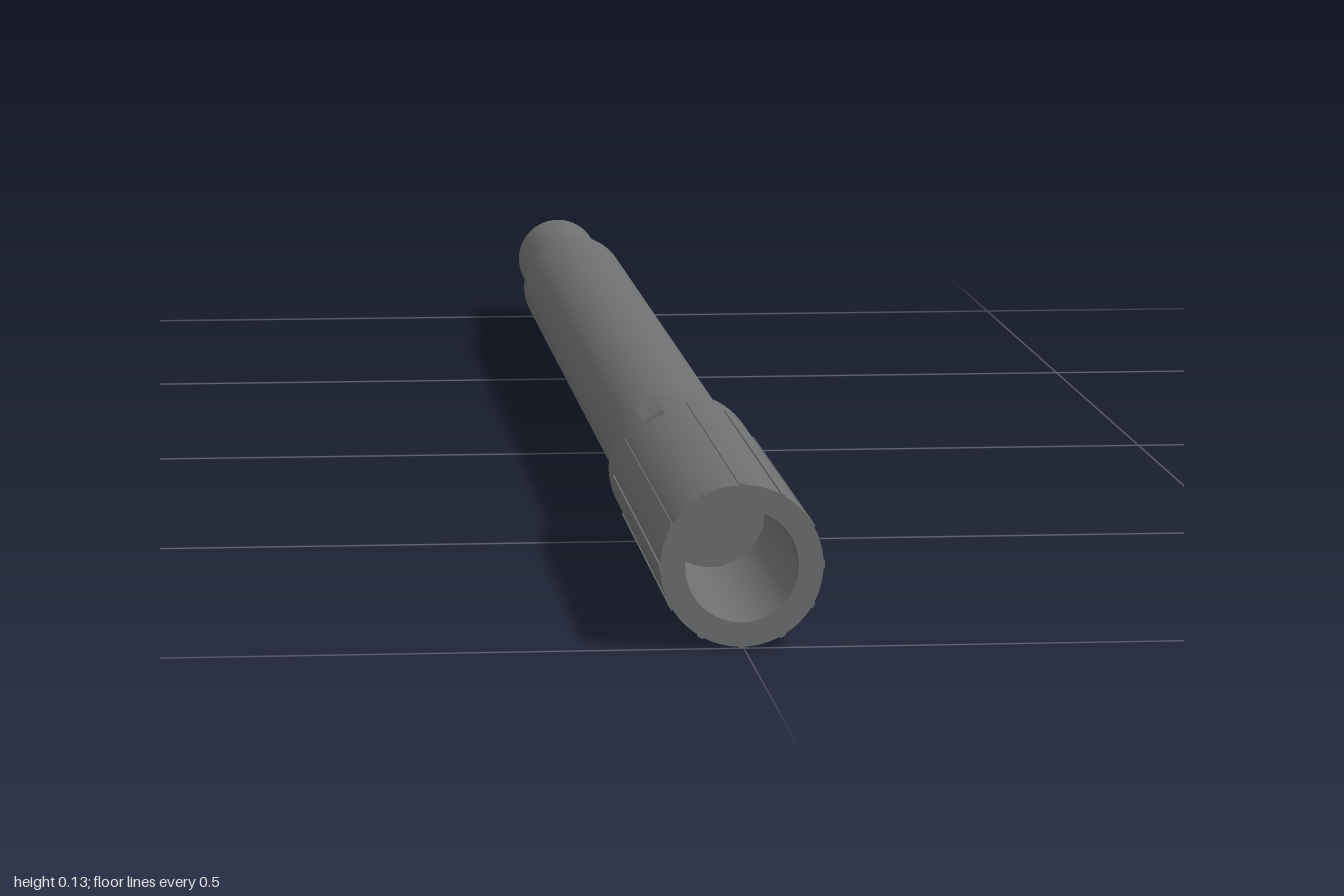
import * as THREE from 'three';

const CX = -0.0015, CY = 0.0675; // axis of the barrel

export function createModel() {
  const model = new THREE.Group();
  const barrel = new THREE.Group(); // turned along y, then laid along z
  barrel.name = 'barrel';
  const metal = new THREE.MeshStandardMaterial({ color: 0x6e6f70 });
  metal.name = 'grey metal';

  // One lathe strip per profile segment keeps the shoulders sharp
  const turned = (name, points) => {
    const part = new THREE.Group();
    part.name = name;
    for (let i = 0; i + 1 < points.length; i++) {
      const pair = [points[i], points[i + 1]].map(([r, z]) => new THREE.Vector2(r, z));
      const mesh = new THREE.Mesh(new THREE.LatheGeometry(pair, 64), metal);
      mesh.name = name + 'Surface';
      part.add(mesh);
    }
    part.rotation.x = Math.PI / 2;
    barrel.add(part);
  };
  turned('rearTip', [[0, -0.9], [0.026, -0.9], [0.026, -1], [0.045, -1], [0.045, -0.75]]);
  turned('shaft', [[0.045, -0.75], [0.056, -0.75], [0.056, 0.5]]);
  turned('frontSleeve', [[0.056, 0.5], [0.066, 0.5], [0.066, 1], [0.046, 1], [0.046, 0.75], [0, 0.75]]);

  // Bars set on the sleeve surface, evenly spaced around the axis
  const bars = (name, count, width, inner, outer, z0, z1) => {
    for (let i = 0; i < count; i++) {
      const g = new THREE.BoxGeometry(outer - inner, width, z1 - z0);
      g.translate((inner + outer) / 2, 0, (z0 + z1) / 2);
      const bar = new THREE.Mesh(g, metal);
      bar.name = name;
      bar.rotation.z = (i * Math.PI * 2) / count;
      barrel.add(bar);
    }
  };
  bars('gripRib', 12, 0.005, 0.062, 0.0672, 0.56, 1);
  bars('lockingLug', 3, 0.02, 0.06, 0.0695, 0.5, 0.59);

  barrel.position.set(CX, CY, 0);
  model.add(barrel);
  return model;
}
